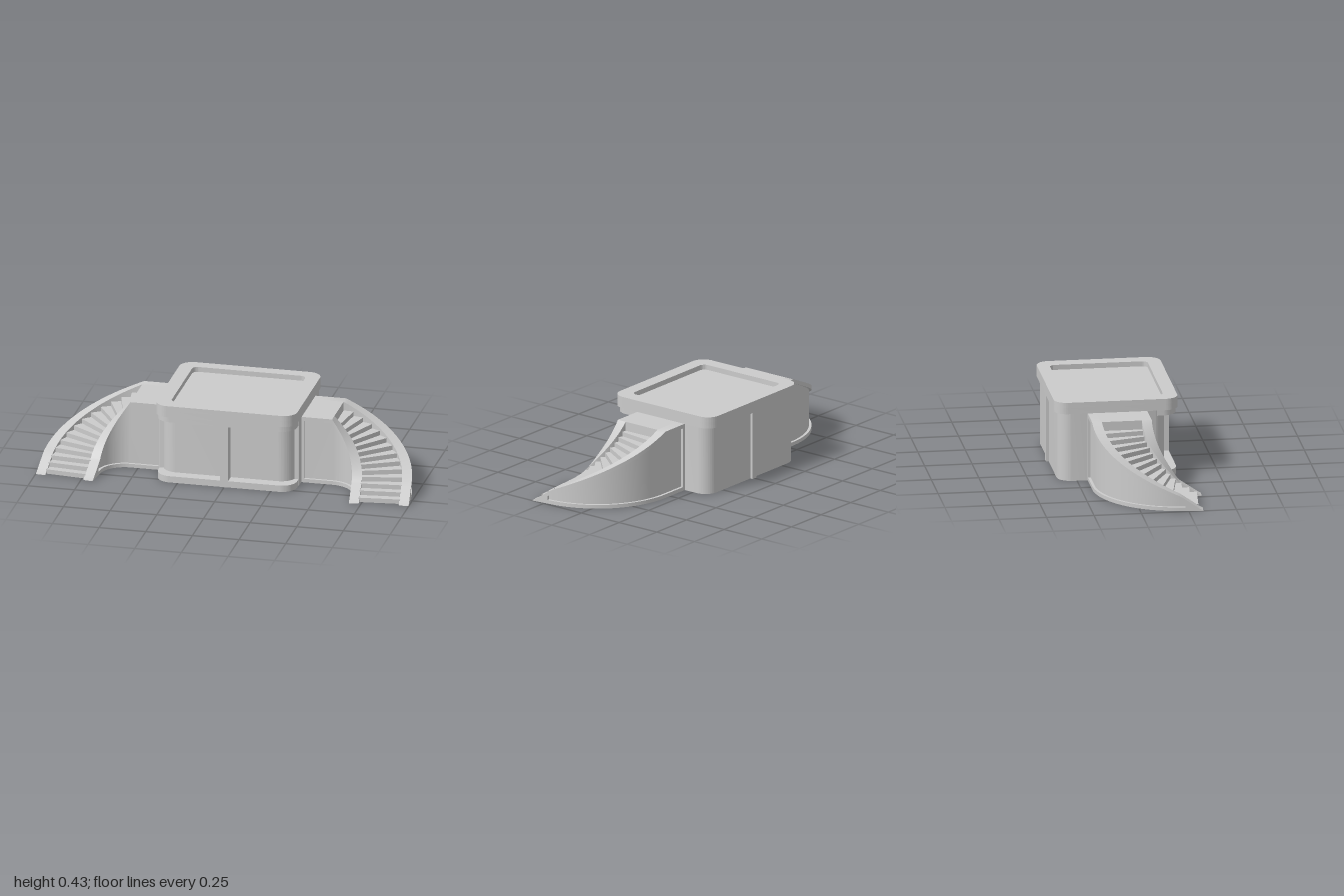
import * as THREE from 'three';
import { toCreasedNormals } from 'three/addons/utils/BufferGeometryUtils.js';

const grey = new THREE.MeshStandardMaterial({ color: 0xcccccc });
const greyDouble = new THREE.MeshStandardMaterial({ color: 0xcccccc, side: THREE.DoubleSide });

function add(parent, name, geometry, material = grey) {
  const mesh = new THREE.Mesh(geometry, material);
  mesh.name = name;
  parent.add(mesh);
}

// Plan outline: half width w, from z0 (back) to z1 (front), corner radii per end
function outline(w, z0, z1, rBack, rFront, Type = THREE.Shape) {
  const p = new Type(), H = Math.PI / 2;
  const b = -z0, f = -z1;
  p.moveTo(-w + rFront, f);
  p.lineTo(w - rFront, f);
  p.absarc(w - rFront, f + rFront, rFront, -H, 0, false);
  p.lineTo(w, b - rBack);
  p.absarc(w - rBack, b - rBack, rBack, 0, H, false);
  p.lineTo(-w + rBack, b);
  p.absarc(-w + rBack, b - rBack, rBack, H, 2 * H, false);
  p.lineTo(-w, f + rFront);
  p.absarc(-w + rFront, f + rFront, rFront, 2 * H, 3 * H, false);
  return p;
}

// Raise a plan outline from y0 to y1
function raise(shape, y0, y1) {
  const g = new THREE.ExtrudeGeometry(shape, { depth: y1 - y0, bevelEnabled: false, curveSegments: 10 });
  g.rotateX(-Math.PI / 2).translate(0, y0, 0);
  return toCreasedNormals(g, 0.5);
}

function box(x0, x1, y0, y1, z0, z1) {
  return new THREE.BoxGeometry(x1 - x0, y1 - y0, z1 - z0)
    .translate((x0 + x1) / 2, (y0 + y1) / 2, (z0 + z1) / 2);
}

// Skin a row of cross-sections
function loft(sections, closed, flip) {
  const v = [];
  for (let i = 0; i < sections.length - 1; i++) {
    const A = sections[i], B = sections[i + 1], n = A.length;
    for (let j = 0; j < (closed ? n : n - 1); j++) {
      const k = (j + 1) % n;
      const q = flip ? [A[j], B[k], A[k], A[j], B[j], B[k]] : [A[j], A[k], B[k], A[j], B[k], B[j]];
      q.forEach((p) => v.push(...p));
    }
  }
  const g = new THREE.BufferGeometry();
  g.setAttribute('position', new THREE.Float32BufferAttribute(v, 3));
  return toCreasedNormals(g, 0.5);
}

// Stair path: straight landing (s < 0), 84 degree arc, short straight run
const TOP = 0.365, X0 = 0.54, ZC = -0.0375, RC = 0.2917, TURN = 84 * Math.PI / 180;
const ARC = RC * TURN, LENGTH = ARC + 0.119, HALF = 0.157, CURB = 0.052;

function onPath(s, d, y, side) {
  if (s < 0) return [side * (X0 + s), y, ZC - d];
  const a = Math.min(s / RC, TURN), t = Math.max(0, s - ARC);
  return [
    side * (X0 + (RC + d) * Math.sin(a) + t * Math.cos(TURN)), y,
    ZC + RC - (RC + d) * Math.cos(a) + t * Math.sin(TURN),
  ];
}

// Side wall with a sunken panel; dir +1 is the outer wall, -1 the inner one
function stairWall(dir, side) {
  const p0 = -0.15, p1 = LENGTH * 0.83;
  const stations = [[-0.19, 0], [p0, 0], [p0, 1], [0, 1]];
  for (let i = 1; i <= 32; i++) stations.push([p1 * i / 32, 1]);
  for (let i = 0; i <= 6; i++) stations.push([p1 + (LENGTH - p1) * i / 6, 0]);
  const sections = stations.map(([s, sunk]) => {
    const h = Math.max(0.003, TOP * (1 - Math.max(0, s) / LENGTH));
    const low = Math.min(0.02, h / 2), high = Math.max(low, h - 0.022);
    const o = HALF, r = HALF - 0.014 * sunk, i = HALF - CURB;
    return [[o, 0], [o, low], [r, low], [r, high], [o, high], [o, h], [i, h], [i, 0]]
      .map(([d, y]) => onPath(s, d * dir, y, side));
  });
  return loft(sections, true, dir * side < 0);
}

// Folded sheet of treads and risers
function stairSteps(side) {
  const count = 13, rise = TOP / 15, run = LENGTH / 13.6, d = HALF - CURB + 0.005;
  const profile = [[0, TOP]];
  for (let i = 0; i < count; i++) {
    const y = (count - i) * rise;
    profile.push([i * run, y], [(i + 1) * run, y]);
  }
  profile.push([count * run, 0]);
  return loft(profile.map(([s, y]) => [onPath(s, d, y, side), onPath(s, -d, y, side)]), false, side < 0);
}

export function createModel() {
  const model = new THREE.Group();
  model.name = 'platformWithStairs';

  // Central body, with a set-back front wall between plinth and lintel
  const body = new THREE.Group();
  body.name = 'body';
  model.add(body);
  add(body, 'rearBody', raise(outline(0.375, -0.348, 0.17, 0.075, 0.002), 0, TOP));
  add(body, 'frontWall', raise(outline(0.355, -0.1, 0.222, 0.01, 0.08), 0.01, TOP));
  add(body, 'plinth', raise(outline(0.372, -0.1, 0.283, 0.01, 0.08), 0, 0.035));
  add(body, 'lintel', raise(outline(0.372, -0.1, 0.28, 0.01, 0.08), 0.335, TOP));
  add(body, 'frontPost', box(-0.021, 0.021, 0, TOP, 0.2, 0.285));
  add(body, 'backPost', box(-0.016, 0.016, 0, TOP, -0.363, -0.33));

  // Top slab with a raised rim around a shallow recess
  const rim = outline(0.377, -0.365, 0.287, 0.07, 0.07);
  rim.holes.push(outline(0.303, -0.3, 0.215, 0.03, 0.03, THREE.Path));
  add(model, 'topRim', raise(rim, 0.4, 0.427));
  add(model, 'topSlab', raise(outline(0.377, -0.365, 0.287, 0.07, 0.07), TOP, 0.4));

  // Curved stairs and landing on both sides
  for (const side of [1, -1]) {
    const stairs = new THREE.Group();
    stairs.name = side > 0 ? 'leftStairs' : 'rightStairs';
    model.add(stairs);
    const a = side * 0.36, b = side * X0, half = HALF - CURB + 0.005;
    add(stairs, 'landing', box(Math.min(a, b), Math.max(a, b), TOP - 0.02, TOP, ZC - half, ZC + half));
    add(stairs, 'outerWall', stairWall(1, side), greyDouble);
    add(stairs, 'innerWall', stairWall(-1, side), greyDouble);
    add(stairs, 'steps', stairSteps(side), greyDouble);
  }
  return model;
}
